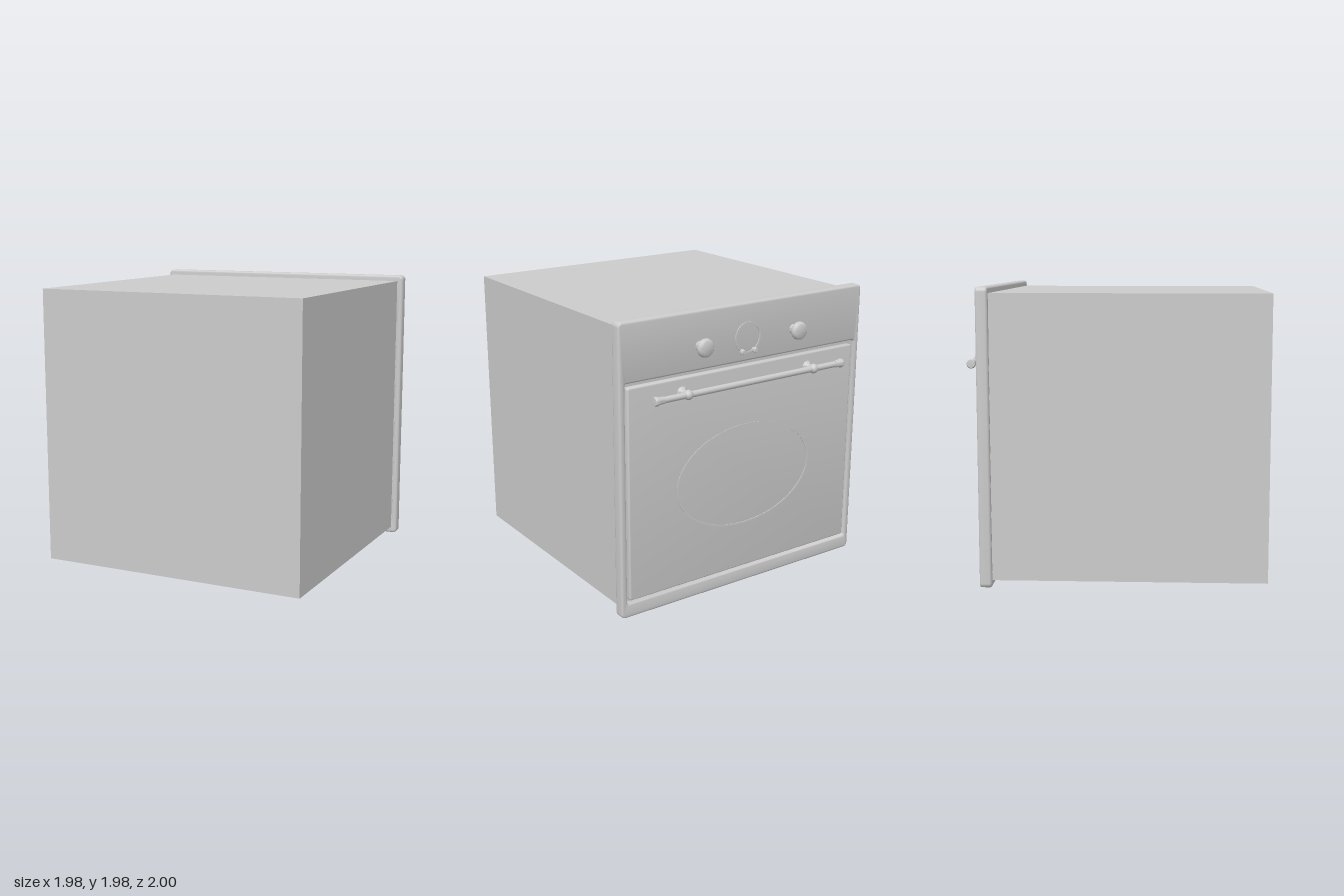
import * as THREE from 'three';
import { toCreasedNormals } from 'three/addons/utils/BufferGeometryUtils.js';

const grey = new THREE.MeshStandardMaterial({ color: 0xcccccc });

function add(parent, name, geometry, x = 0, y = 0, z = 0) {
  const mesh = new THREE.Mesh(geometry, grey);
  mesh.name = name;
  mesh.position.set(x, y, z);
  parent.add(mesh);
  return mesh;
}

// Rounded rectangle outline between two corners
function roundedRect(Type, x0, y0, x1, y1, r) {
  const s = new Type();
  s.absarc(x1 - r, y0 + r, r, -Math.PI / 2, 0);
  s.absarc(x1 - r, y1 - r, r, 0, Math.PI / 2);
  s.absarc(x0 + r, y1 - r, r, Math.PI / 2, Math.PI);
  s.absarc(x0 + r, y0 + r, r, Math.PI, Math.PI * 1.5);
  s.closePath();
  return s;
}

// Slab with softened edges; the outline is its largest extent
function slab(shape, depth, bevel, curveSegments = 6) {
  const g = new THREE.ExtrudeGeometry(shape, {
    depth: depth - 2 * bevel, bevelThickness: bevel, bevelSize: bevel,
    bevelOffset: -bevel, bevelSegments: 3, curveSegments
  });
  g.translate(0, 0, bevel);
  return toCreasedNormals(g, 0.6);
}

// Flat elliptical trim ring
function ovalRing(rx, ry, width, depth) {
  const s = new THREE.Shape().absellipse(0, 0, rx, ry, 0, Math.PI * 2);
  s.holes.push(new THREE.Path().absellipse(0, 0, rx - width, ry - width, 0, Math.PI * 2));
  return toCreasedNormals(new THREE.ExtrudeGeometry(s, {
    depth, bevelEnabled: false, curveSegments: 32
  }), 0.6);
}

// Turned part, its axis running along +z
function turned(points, segments = 32) {
  const g = new THREE.LatheGeometry(points.map(p => new THREE.Vector2(...p)), segments);
  g.rotateX(Math.PI / 2);
  return toCreasedNormals(g.toNonIndexed(), 0.7);
}

export function createModel() {
  const model = new THREE.Group();
  model.name = 'builtInOven';

  // Plain cabinet
  add(model, 'cabinet', new THREE.BoxGeometry(1.9, 1.895, 1.82), 0, 0.9925, 0.09);

  // Everything on the control side, turned to face -z
  const face = new THREE.Group();
  face.name = 'controlSide';
  face.rotation.y = Math.PI;
  model.add(face);

  // Face frame with an opening for the door
  const frame = roundedRect(THREE.Shape, -0.99, 0, 0.99, 1.98, 0.03);
  frame.holes.push(roundedRect(THREE.Path, -0.945, 0.1, 0.945, 1.59, 0.012));
  add(face, 'faceFrame', slab(frame, 0.08, 0.014), 0, 0, 0.82);
  add(face, 'grooveFloor', new THREE.BoxGeometry(1.91, 1.51, 0.04), 0, 0.845, 0.84);

  // Door with oval window trim
  const door = roundedRect(THREE.Shape, -0.928, 0.117, 0.928, 1.562, 0.015);
  add(face, 'door', slab(door, 0.06, 0.01), 0, 0, 0.84);
  add(face, 'windowTrim', ovalRing(0.56, 0.36, 0.012, 0.006), 0, 0.8, 0.898);

  // Clock ring
  add(face, 'clockRing', ovalRing(0.105, 0.105, 0.01, 0.008), 0, 1.75, 0.898);

  const knob = turned([
    [0, 0], [0.034, 0], [0.034, 0.04], [0.052, 0.043], [0.059, 0.05], [0.062, 0.06],
    [0.059, 0.074], [0.052, 0.083], [0.044, 0.087], [0, 0.087]
  ]);
  const button = turned([[0, 0], [0.017, 0], [0.017, 0.029], [0.014, 0.033], [0, 0.033]], 20);
  const post = turned([
    [0.04, 0], [0.034, 0.006], [0.026, 0.018], [0.021, 0.032], [0.021, 0.05], [0.021, 0.068]
  ], 24);

  // Handle end cap, flaring outwards
  const cap = turned([
    [0, 0], [0.024, 0], [0.025, 0.03], [0.031, 0.05], [0.031, 0.06], [0.026, 0.068], [0, 0.07]
  ], 24);

  const handle = new THREE.Group();
  handle.name = 'handle';
  handle.position.set(0, 1.468, 0.899);
  face.add(handle);
  const bar = new THREE.CylinderGeometry(0.021, 0.021, 1.44, 24).rotateZ(Math.PI / 2);
  add(handle, 'handleBar', bar, 0, 0, 0.069);

  for (const s of [-1, 1]) {
    add(face, 'knob', knob, s * 0.385, 1.75, 0.899);
    add(face, 'clockButton', button, s * 0.05, 1.66, 0.899);
    add(handle, 'handlePost', post, s * 0.52);
    add(handle, 'handleJoint', new THREE.SphereGeometry(0.033, 24, 16), s * 0.52, 0, 0.068);
    add(handle, 'handleCap', cap, s * 0.71, 0, 0.069).rotation.y = s * Math.PI / 2;
  }
  return model;
}
